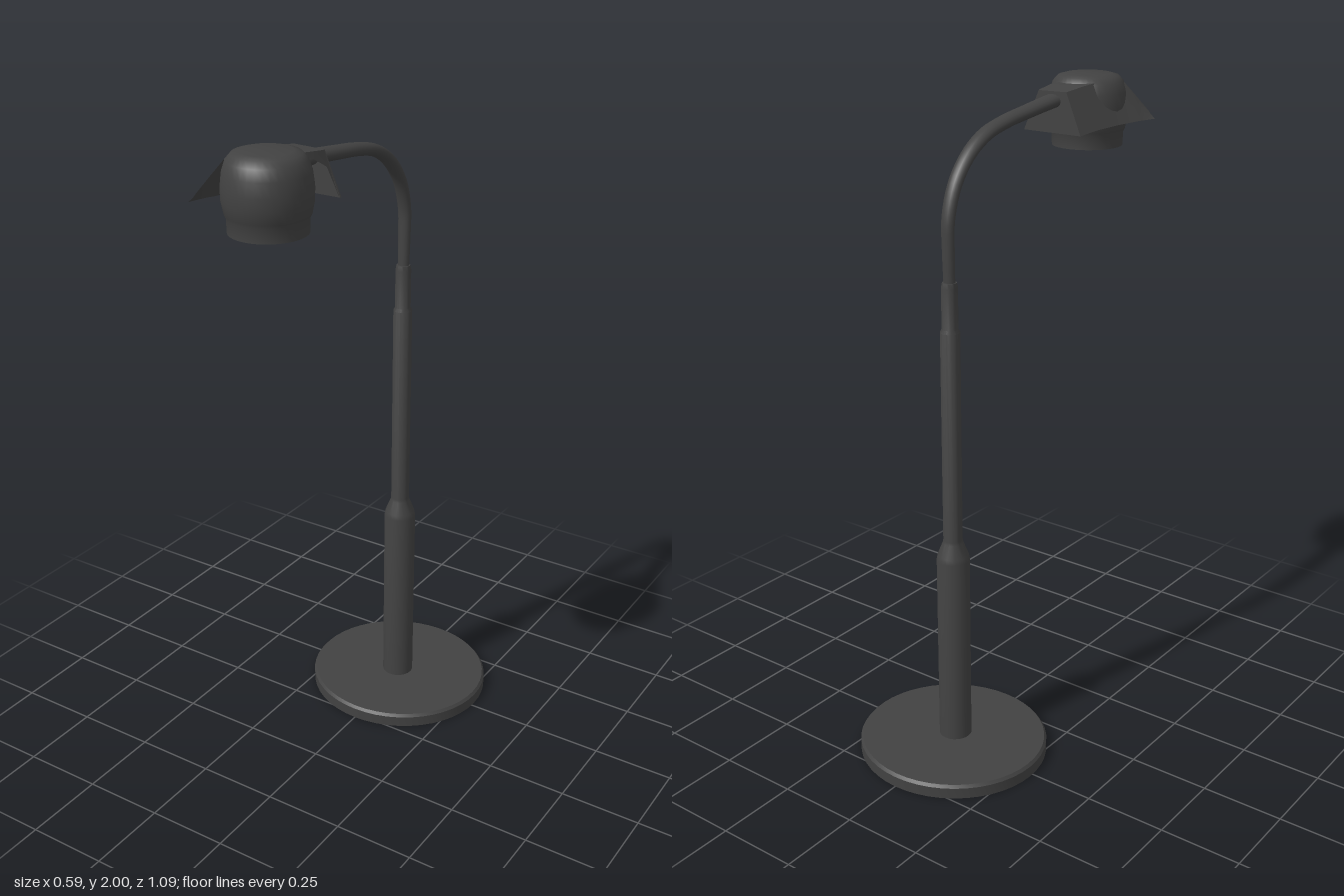
import * as THREE from 'three';
import { toCreasedNormals } from 'three/addons/utils/BufferGeometryUtils.js';

const POST_Z = -0.254;
const HEAD_Z = 0.425;

// Skin a list of cross-sections, each an array of Vector3
function loft(sections, closed) {
  const n = sections[0].length;
  const index = [];
  for (let i = 0; i < sections.length - 1; i++) {
    for (let j = 0; j < (closed ? n : n - 1); j++) {
      const k = (j + 1) % n;
      const a = i * n + j, b = i * n + k, c = a + n, d = b + n;
      index.push(a, b, c, b, d, c);
    }
  }
  const geo = new THREE.BufferGeometry().setFromPoints(sections.flat());
  geo.setIndex(index);
  geo.computeVertexNormals();
  return geo;
}

function lathe(profile, segments = 32) {
  const points = profile.map(([r, y]) => new THREE.Vector2(r, y));
  return toCreasedNormals(new THREE.LatheGeometry(points, segments), 0.6);
}

export function createModel() {
  const lamp = new THREE.Group();
  lamp.name = 'floorLamp';
  const metal = new THREE.MeshStandardMaterial({ color: 0x424242 });
  metal.name = 'dark metal';
  const sheetMetal = metal;
  sheetMetal.side = THREE.DoubleSide;

  const add = (name, geo, x = 0, y = 0, z = 0) => {
    const mesh = new THREE.Mesh(geo, metal);
    mesh.name = name;
    mesh.position.set(x, y, z);
    lamp.add(mesh);
    return mesh;
  };

  // Round foot, slightly oval, with a small bevel
  const base = add('base', lathe([[0, 0], [0.295, 0], [0.295, 0.034], [0.288, 0.043], [0, 0.043]], 48), 0, 0, -0.264);
  base.scale.z = 0.96;

  // Stepped post
  add('post', lathe([
    [0.05, 0.04], [0.05, 0.645], [0.047, 0.66], [0.031, 0.7], [0.029, 0.71],
    [0.029, 1.355], [0.024, 1.365], [0.024, 1.485], [0.021, 1.5], [0, 1.5],
  ], 24), 0, 0, POST_Z);

  // Curved neck, flattened and widening towards the head
  const path = new THREE.CatmullRomCurve3([
    [1.49, -0.254], [1.6, -0.257], [1.68, -0.255], [1.77, -0.224], [1.84, -0.165],
    [1.885, -0.09], [1.908, 0], [1.923, 0.11], [1.938, 0.24], [1.942, 0.31],
  ].map(([y, z]) => new THREE.Vector3(0, y, z)));
  const rings = [];
  for (let i = 0; i <= 40; i++) {
    const t = i / 40;
    const p = path.getPointAt(t), d = path.getTangentAt(t);
    const wide = 0.018 + 0.014 * t, thick = 0.015 + 0.006 * t;
    const ring = [];
    for (let j = 0; j < 16; j++) {
      const a = (j / 16) * Math.PI * 2;
      const s = Math.sin(a) * thick;
      ring.push(new THREE.Vector3(Math.cos(a) * wide, p.y + d.z * s, p.z - d.y * s));
    }
    rings.push(ring);
  }
  add('neck', loft(rings, true));

  // Bell-shaped shade, hollow from below
  add('shade', lathe([
    [0, 1.94], [0.07, 1.93], [0.1, 1.88], [0.098, 1.785], [0.108, 1.785], [0.109, 1.825],
    [0.114, 1.835], [0.121, 1.87], [0.122, 1.905], [0.117, 1.945], [0.107, 1.975],
    [0.092, 1.992], [0.07, 1.998], [0, 2],
  ], 36), 0, 0, HEAD_Z);

  // Folded hood: each row is z, then x,y of right lip, right fold, left fold, left lip
  const hoodRows = [
    [0.235, 0.1, 1.845, 0.048, 1.965, -0.05, 1.967, -0.102, 1.845],
    [0.243, 0.096, 1.85, 0.05, 1.966, -0.052, 1.968, -0.104, 1.846],
    [0.252, 0.066, 1.925, 0.051, 1.967, -0.053, 1.969, -0.106, 1.848],
    [0.3, 0.058, 1.955, 0.052, 1.974, -0.062, 1.976, -0.118, 1.855],
    [0.38, 0.03, 1.98, 0.02, 1.985, -0.074, 1.984, -0.134, 1.86],
    [0.455, -0.05, 1.985, -0.055, 1.986, -0.086, 1.982, -0.15, 1.862],
    [0.475, -0.094, 1.975, -0.096, 1.973, -0.1, 1.967, -0.156, 1.863],
    [0.505, -0.122, 1.93, -0.124, 1.927, -0.128, 1.92, -0.164, 1.863],
    [0.535, -0.149, 1.885, -0.151, 1.882, -0.154, 1.878, -0.171, 1.863],
  ];
  const hood = loft(hoodRows.map(([z, ...p]) =>
    [0, 2, 4, 6].map((k) => new THREE.Vector3(p[k], p[k + 1], z))), false);
  add('hood', toCreasedNormals(hood, 0.5));

  // Flat plate closing the back of the hood
  const [z0, ...edge] = hoodRows[0];
  const plate = new THREE.Shape([0, 2, 4, 6].map((k) => new THREE.Vector2(edge[k], edge[k + 1])));
  add('hoodBack', new THREE.ExtrudeGeometry(plate, { depth: 0.006, bevelEnabled: false }), 0, 0, z0);

  return lamp;
}
